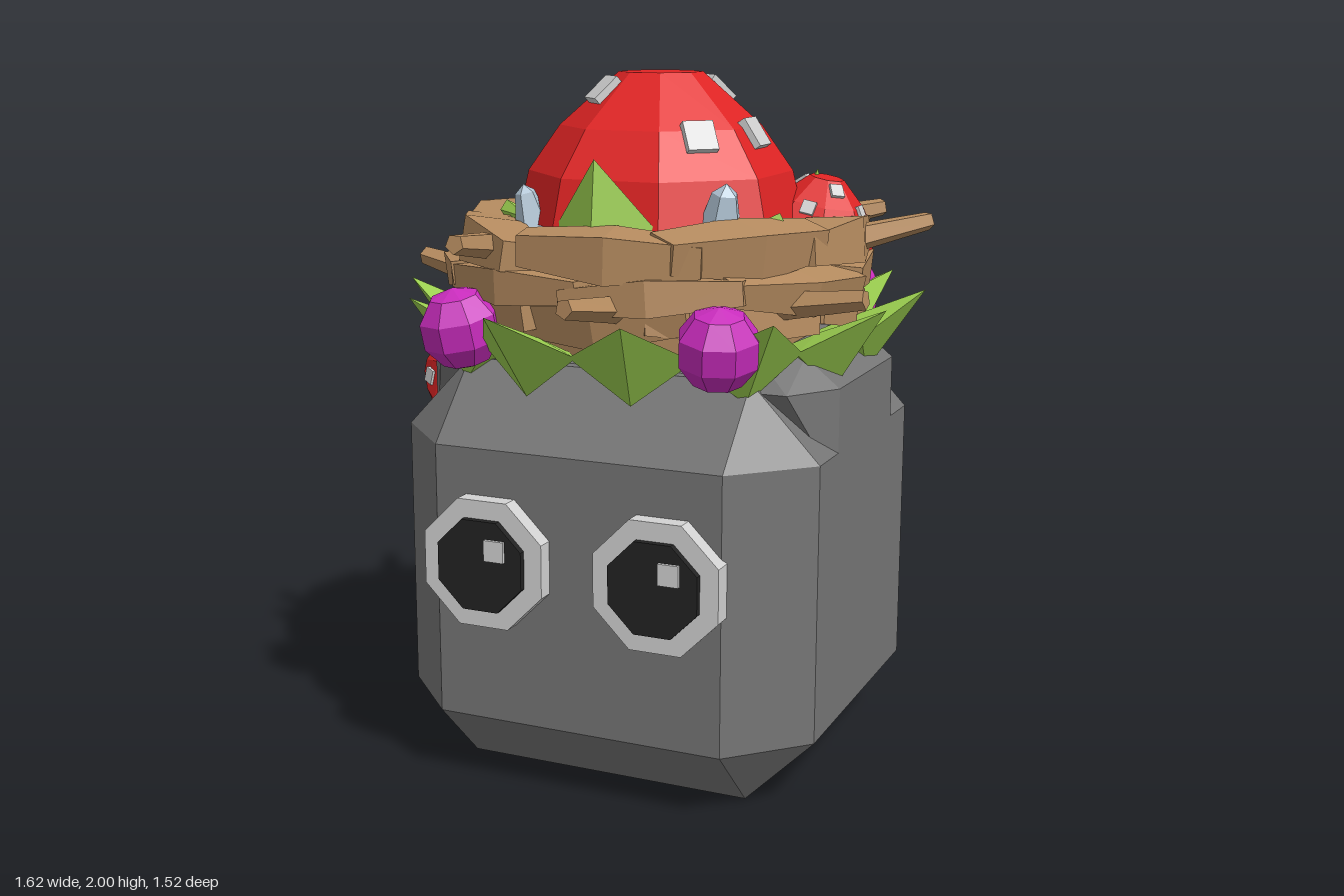
import * as THREE from 'three';
import { ConvexGeometry } from 'three/addons/geometries/ConvexGeometry.js';

const CX = 0.075, CZ = -0.022; // centre line of the body
const V = (x, y, z) => new THREE.Vector3(x, y, z);

function mat(name, color) {
  const m = new THREE.MeshStandardMaterial({ color });
  m.name = name;
  return m;
}

// Give every face its own normal for the faceted look
function flat(geo) {
  const g = geo.index ? geo.toNonIndexed() : geo;
  g.computeVertexNormals();
  return g;
}

const hull = (pts) => flat(new ConvexGeometry(pts.map((p) => V(...p))));

export function createModel() {
  const root = new THREE.Group();
  root.name = 'rockCreature';
  const stone = mat('stone grey', 0x757575), white = mat('pale grey', 0xd2d2d2), black = mat('pupil black', 0x222222);
  const red = mat('cap red', 0xe02424), wood = mat('twig brown', 0xb58b5f), green = mat('leaf green', 0x9ccf50);
  const purple = mat('berry purple', 0xc82cbc), blue = mat('crystal blue', 0xb2c6d6);

  let seed = 11;
  const rand = () => { seed = (seed * 16807) % 2147483647; return seed / 2147483647 * 2 - 1; };

  function add(name, geo, material, pos = [0, 0, 0], parent = root) {
    const m = new THREE.Mesh(geo, material);
    m.name = name;
    m.position.set(...pos);
    parent.add(m);
    return m;
  }
  // Aim a mesh's y axis along a direction
  const aim = (obj, dir) => obj.quaternion.setFromUnitVectors(V(0, 1, 0), dir.clone().normalize());

  // Body: chamfered block with a raised shoulder band
  const block = [], band = [];
  for (const sx of [-1, 1]) for (const sz of [-1, 1]) {
    for (const y of [0, 1.2]) block.push([sx * 0.43, y, sz * 0.405]);
    for (const y of [0.2, 0.99]) block.push([sx * 0.63, y, sz * 0.405], [sx * 0.43, y, sz * 0.607]);
    band.push([sx * 0.63, 0.9, sz * 0.25], [sx * 0.63, 1.17, sz * 0.25], [sx * 0.53, 1.25, sz * 0.25]);
    band.push([sx * 0.53, 1.17, sz * 0.4], [sx * 0.43, 1.24, sz * 0.32]);
  }
  add('body', hull(block), stone, [CX, 0, CZ]);
  add('shoulders', hull(band), stone, [CX, 0, CZ]);

  // Eyes
  const disc = (r, d) => flat(new THREE.CylinderGeometry(r, r, d, 8).rotateY(Math.PI / 8).rotateX(Math.PI / 2));
  for (const x of [-0.185, 0.335]) {
    add('eyeRim', disc(0.197, 0.06), white, [x, 0.675, 0.605]);
    add('pupil', disc(0.14, 0.03), black, [x, 0.675, 0.64]);
    add('eyeGlint', new THREE.BoxGeometry(0.06, 0.06, 0.02), white, [x + 0.05, 0.725, 0.655]);
  }

  // Collar of folded leaves
  const collarLeaf = hull([[0, 1.24, 0.42], [0.17, 1.27, 0.59], [-0.17, 1.27, 0.59],
    [0, 1.145, 0.6], [0, 1.385, 0.765], [0, 1.3, 0.55]]);
  for (let i = 0; i < 12; i++) {
    add('collarLeaf', collarLeaf, green, [CX, 0, CZ]).rotation.y = (i + 0.5) * Math.PI / 6;
  }

  // Berries on the four corners
  for (const sx of [-1, 1]) for (const sz of [-1, 1]) {
    const b = add('berry', flat(new THREE.SphereGeometry(0.118, 8, 5)), purple,
      [CX + sx * 0.385, 1.31, CZ + sz * 0.53]);
    aim(b, V(sx * 0.1, 1, sz * 0.2));
  }

  // Nest: solid core wrapped in layers of tapered planks
  add('nestCore', flat(new THREE.CylinderGeometry(0.47, 0.45, 0.3, 10)), wood, [CX, 1.37, CZ]);
  function plank(len, h, w) {
    const g = new THREE.BoxGeometry(w, h, len, 1, 1, 2), p = g.attributes.position;
    for (let i = 0; i < p.count; i++) {
      if (Math.abs(p.getZ(i)) > 0.01) {
        p.setY(i, p.getY(i) * 0.65);
        p.setX(i, p.getX(i) * 0.7 - 0.035); // bend inwards
      }
    }
    return flat(g);
  }
  const layers = [[1.36, 0.5, 0.13], [1.435, 0.535, 0.1], [1.535, 0.525, 0.13]];
  layers.forEach(([y, r, h], k) => {
    for (let i = 0; i < 8; i++) {
      const a = (i + k * 0.45 + rand() * 0.12) * Math.PI / 4, rr = r + rand() * 0.025;
      const m = add('nestPlank', plank(0.5, h, 0.17), wood,
        [CX + Math.cos(a) * rr, y + rand() * 0.012, CZ + Math.sin(a) * rr]);
      m.rotation.set(rand() * 0.1, -a + rand() * 0.12, rand() * 0.25, 'YXZ');
    }
  });

  // Loose twigs poking out
  const twigs = [[-0.45, 0.09, -0.7, 1.43, 0.03], [0.5, 0.27, 0.79, 1.43, 0.29], [0.6, -0.08, 0.785, 1.57, -0.33],
    [0.19, 0.45, 0.13, 1.43, 0.75], [-0.23, 0.38, -0.22, 1.57, 0.69], [-0.05, -0.48, -0.26, 1.43, -0.73],
    [0.35, -0.42, 0.56, 1.57, -0.62], [-0.36, -0.25, -0.5, 1.56, -0.52]];
  for (const [x0, z0, x1, y1, z1] of twigs) {
    const a = V(x0, y1 - 0.04, z0), b = V(x1, y1, z1), d = b.clone().sub(a);
    const t = add('twig', flat(new THREE.CylinderGeometry(0.028, 0.045, d.length(), 5)), wood,
      a.add(b).multiplyScalar(0.5).toArray());
    aim(t, d);
  }

  // Mushrooms: eight-sided cap with square spots; spots are [degrees, 0 low or 1 high]
  function mushroom(name, R, h, pos, axis, spots, size) {
    const g = new THREE.Group();
    g.name = name;
    g.position.set(...pos);
    aim(g, axis);
    root.add(g);
    const profile = [[0, 0], [1, 0], [0.92, 0.33], [0.7, 0.64], [0.29, 1], [0, 1]]
      .map(([x, y]) => new THREE.Vector2(x * R, y * h));
    add('cap', flat(new THREE.LatheGeometry(profile, 8, Math.PI / 8)), red, [0, 0, 0], g);
    for (const [deg, high] of spots) {
      const a = deg * Math.PI / 180, r = (high ? 0.42 : 0.69) * R, n = high ? [0.68, 0.73] : [0.84, 0.55];
      const s = add('capSpot', new THREE.BoxGeometry(size, size, size * 0.3), white,
        [Math.cos(a) * r, (high ? 0.88 : 0.6) * h, Math.sin(a) * r], g);
      s.quaternion.setFromRotationMatrix(new THREE.Matrix4().lookAt(
        V(Math.cos(a) * n[0], n[1], Math.sin(a) * n[0]), V(0, 0, 0), V(0, 1, 0)));
    }
    return g;
  }
  mushroom('crownMushroom', 0.416, 0.42, [CX, 1.58, 0], V(0, 1, 0),
    [[0, 0], [45, 0], [225, 0], [135, 1], [-45, 1]], 0.09);
  add('crownStem', flat(new THREE.CylinderGeometry(0.37, 0.33, 0.12, 8).rotateY(Math.PI / 8)), blue, [CX, 1.53, 0]);
  mushroom('nestMushroom', 0.175, 0.19, [0.475, 1.51, -0.21], V(0.2, 1, 0.02), [[0, 0], [90, 0], [180, 1], [45, 1]], 0.04);
  for (const [R, h, x, y] of [[0.18, 0.16, -0.635, 1.015], [0.16, 0.15, -0.625, 0.585]]) {
    const g = mushroom('sideMushroom', R, h, [x, y, -0.15], V(-1, 0.24, 0),
      [[0, 0], [90, 0], [180, 0], [-90, 0]], 0.045);
    add('sideStem', flat(new THREE.CylinderGeometry(0.045, 0.06, 0.15, 6)), white, [0, -0.04, 0], g);
  }

  // Upright leaves around the crown, as [degrees, radius, width, tip height]
  for (const [deg, r, w, top] of [[90, 0.42, 0.16, 1.785], [-90, 0.43, 0.16, 1.785],
    [-28, 0.43, 0.1, 1.72], [208, 0.43, 0.1, 1.72], [20, 0.42, 0.07, 1.63], [160, 0.42, 0.07, 1.63]]) {
    const leaf = hull([[-w, 1.58, r - 0.05], [w, 1.58, r - 0.05], [0, 1.6, r + 0.05],
      [0, 1.5, r - 0.02], [0, top, r + 0.03], [0, 1.6, r - 0.03]]);
    add('uprightLeaf', leaf, green, [CX, 0, 0]).rotation.y = Math.PI / 2 - deg * Math.PI / 180;
  }

  // Crystals beside the crown, as [x, z, radius, height]
  for (const [x, z, r, h] of [[0.06, -0.34, 0.13, 0.3], [0.37, 0.26, 0.075, 0.15], [-0.21, 0.27, 0.06, 0.13]]) {
    const c = add('crystal', flat(new THREE.CylinderGeometry(r * 0.5, r, h, 5)), blue, [x, 1.54 + h / 2, z]);
    aim(c, V((x - CX) * 0.6, 1, z * 0.6));
    const tip = add('crystalTip', flat(new THREE.ConeGeometry(r * 0.5, r * 0.4, 5)), blue, [0, h / 2 + r * 0.2, 0], c);
    tip.rotation.y = 0;
  }
  return root;
}
